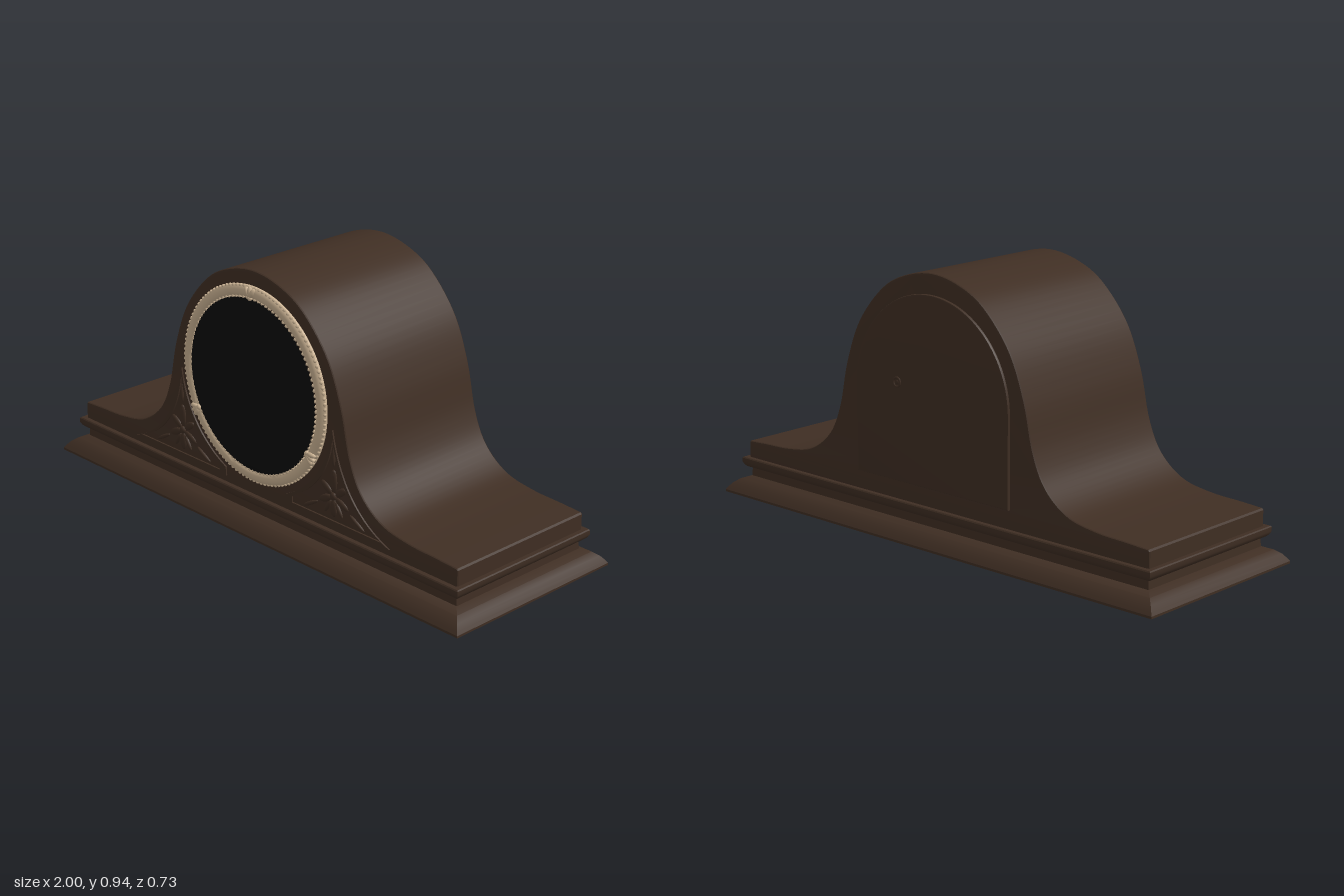
import * as THREE from 'three';
import { mergeGeometries, toCreasedNormals } from 'three/addons/utils/BufferGeometryUtils.js';

const wood = new THREE.MeshStandardMaterial({ name: 'dark wood', color: 0x3f2e23 });
const ivory = new THREE.MeshStandardMaterial({ name: 'ivory brass', color: 0xc9b192 });
const black = new THREE.MeshStandardMaterial({ name: 'black glass', color: 0x0a0a0a });

const V = (x, y) => new THREE.Vector2(x, y);
const DIAL_Y = 0.535;

function add(parent, name, geometry, material) {
  const mesh = new THREE.Mesh(geometry, material);
  mesh.name = name;
  parent.add(mesh);
  return mesh;
}

// Extrudes a shape from z0 to z1 with a bevel that stays inside the outline
function slab(shape, z0, z1, bevel = 0, depth = bevel, crease = 0.5) {
  const g = new THREE.ExtrudeGeometry(shape, {
    depth: z1 - z0 - 2 * depth, curveSegments: 48, bevelEnabled: bevel > 0,
    bevelSize: bevel, bevelThickness: depth, bevelOffset: -bevel, bevelSegments: 2,
  });
  g.translate(0, 0, z0 + depth);
  return toCreasedNormals(g, crease);
}

// Round part facing +z, from [radius, z] pairs running outside to centre
function dialLathe(pairs) {
  const g = new THREE.LatheGeometry(pairs.map(p => V(...p)), 96);
  return toCreasedNormals(g.rotateX(Math.PI / 2).translate(0, DIAL_Y, 0), 0.7);
}

// Flattened ellipsoid petal growing from (x, y) in direction a
function petal(x, y, z, a, start, length, width, depth) {
  const g = new THREE.SphereGeometry(1, 12, 8);
  g.scale(length / 2, width / 2, depth);
  g.translate(start + length / 2, 0, 0).rotateZ(a);
  return g.translate(x, y, z);
}

// Moulded plinth: a four-sided lathe stretched along x
function plinthGeometry() {
  const profile = [[0, 0], [0.365, 0], [0.365, 0.008], [0.358, 0.018], [0.345, 0.034],
    [0.325, 0.049], [0.295, 0.06], [0.293, 0.095], [0.307, 0.095], [0.314, 0.102],
    [0.319, 0.112], [0.319, 0.127], [0.316, 0.131], [0, 0.131]];
  const g = new THREE.LatheGeometry(profile.map(([r, y]) => V(r * Math.SQRT2, y)), 4);
  g.rotateY(Math.PI / 4);
  const p = g.attributes.position;
  for (let i = 0; i < p.count; i++) {
    const x = p.getX(i);
    if (Math.abs(x) > 0.01) p.setX(i, x + Math.sign(x) * 0.635);
  }
  return toCreasedNormals(g, 0.5);
}

// Humped case outline, mirrored about x = 0
function caseShape() {
  const half = [[0.93, 0.192], [0.84, 0.197], [0.72, 0.203], [0.6, 0.228], [0.505, 0.3],
    [0.45, 0.41], [0.41, 0.575], [0.345, 0.73], [0.235, 0.855], [0.125, 0.914]];
  const right = half.map(p => V(...p));
  const left = half.map(([x, y]) => V(-x, y)).reverse();
  const curve = new THREE.SplineCurve([...right, V(0, 0.937), ...left]);
  return new THREE.Shape([V(-0.935, 0.12), V(0.935, 0.12), V(0.935, 0.186),
    ...curve.getPoints(110), V(-0.935, 0.186)]);
}

// Carved corner: raised frame with a leafy flower, side = 1 or -1
function cornerCarving(side) {
  const group = new THREE.Group();
  group.name = side > 0 ? 'leftCornerCarving' : 'rightCornerCarving';
  const outline = new THREE.Shape();
  const rad = Math.PI / 180;
  outline.moveTo(-0.64, 0.155);
  outline.quadraticCurveTo(-0.425, 0.23, -0.377, 0.489);
  outline.absarc(0, DIAL_Y, 0.378, 187 * rad, 246.5 * rad, false);
  outline.lineTo(-0.15, 0.155);
  const pts = outline.getPoints(20).map(p => V(-side * p.x, p.y));
  const cx = side * 0.39, cy = 0.245;
  const shape = new THREE.Shape(pts);
  shape.holes.push(new THREE.Path(
    pts.map(p => V(cx + (p.x - cx) * 0.86, cy + (p.y - cy) * 0.86)).reverse()));
  add(group, 'carvedFrame', slab(shape, 0.297, 0.306), wood);

  const x = side * 0.38, y = 0.255, leaves = [];
  // main petals: direction, start, length, width
  for (const [deg, start, length, width] of [[90, 0.01, 0.085, 0.032], [35, 0.01, 0.06, 0.026],
    [145, 0.01, 0.06, 0.026], [-25, 0.01, 0.065, 0.026], [205, 0.01, 0.065, 0.026],
    [-90, 0.01, 0.065, 0.03], [-58, 0.02, 0.06, 0.016], [238, 0.02, 0.06, 0.016],
    [90, 0.105, 0.07, 0.014], [-29, 0.085, 0.08, 0.014], [209, 0.085, 0.08, 0.014]])
    leaves.push(petal(x, y, 0.3, deg * rad, start, length, width, 0.008));
  leaves.push(petal(x, y, 0.302, 0, -0.014, 0.028, 0.028, 0.009));
  add(group, 'carvedFlower', mergeGeometries(leaves), wood);
  return group;
}

export function createModel() {
  const model = new THREE.Group();
  model.name = 'mantelClock';

  add(model, 'plinth', plinthGeometry(), wood);
  add(model, 'case', slab(caseShape(), -0.3, 0.3, 0.008, 0.005), wood);
  model.add(cornerCarving(1), cornerCarving(-1));

  // Bezel with beaded edges
  add(model, 'bezel', dialLathe([[0.35, 0.296], [0.35, 0.308], [0.344, 0.315], [0.334, 0.319],
    [0.322, 0.319], [0.313, 0.315], [0.305, 0.306]]), ivory);
  const beads = [];
  for (const [radius, z, count] of [[0.347, 0.309, 120], [0.309, 0.312, 108]])
    for (let i = 0; i < count; i++) {
      const a = i / count * Math.PI * 2;
      beads.push(new THREE.SphereGeometry(0.0065, 6, 5)
        .translate(radius * Math.cos(a), DIAL_Y + radius * Math.sin(a), z));
    }
  add(model, 'bezelBeads', mergeGeometries(beads), ivory);

  // Three small shells on the bezel
  const shells = [];
  for (const a of [90, 210, 330].map(d => d * Math.PI / 180)) {
    const x = 0.312 * Math.cos(a), y = DIAL_Y + 0.312 * Math.sin(a);
    for (const turn of [-0.5, 0, 0.5])
      shells.push(petal(x, y, 0.318, a + turn, 0, 0.042, 0.018, 0.01));
    shells.push(petal(x, y, 0.319, a, -0.009, 0.018, 0.02, 0.008));
  }
  add(model, 'bezelShells', mergeGeometries(shells), ivory);

  // Domed glass
  const dome = [];
  for (let i = 0; i <= 12; i++) {
    const t = 1 - i / 12;
    dome.push([0.308 * t, 0.34 - 0.024 * t * t]);
  }
  add(model, 'glass', dialLathe(dome), black);

  // Arched back door with a round pull
  const door = new THREE.Shape();
  door.moveTo(-0.352, 0.197);
  door.lineTo(0.352, 0.197);
  door.lineTo(0.352, 0.513);
  door.absarc(0, 0.513, 0.352, 0, Math.PI, false);
  add(model, 'backDoor', slab(door, -0.31, -0.29, 0.005, 0.004), wood);
  const pull = new THREE.Group();
  pull.name = 'doorPull';
  pull.position.set(0.155, 0.545, -0.309);
  add(pull, 'pullRim', new THREE.TorusGeometry(0.016, 0.004, 8, 28), wood);
  add(pull, 'pullCentre', new THREE.SphereGeometry(0.008, 12, 8).scale(1, 1, 0.4), wood);
  model.add(pull);

  return model;
}
